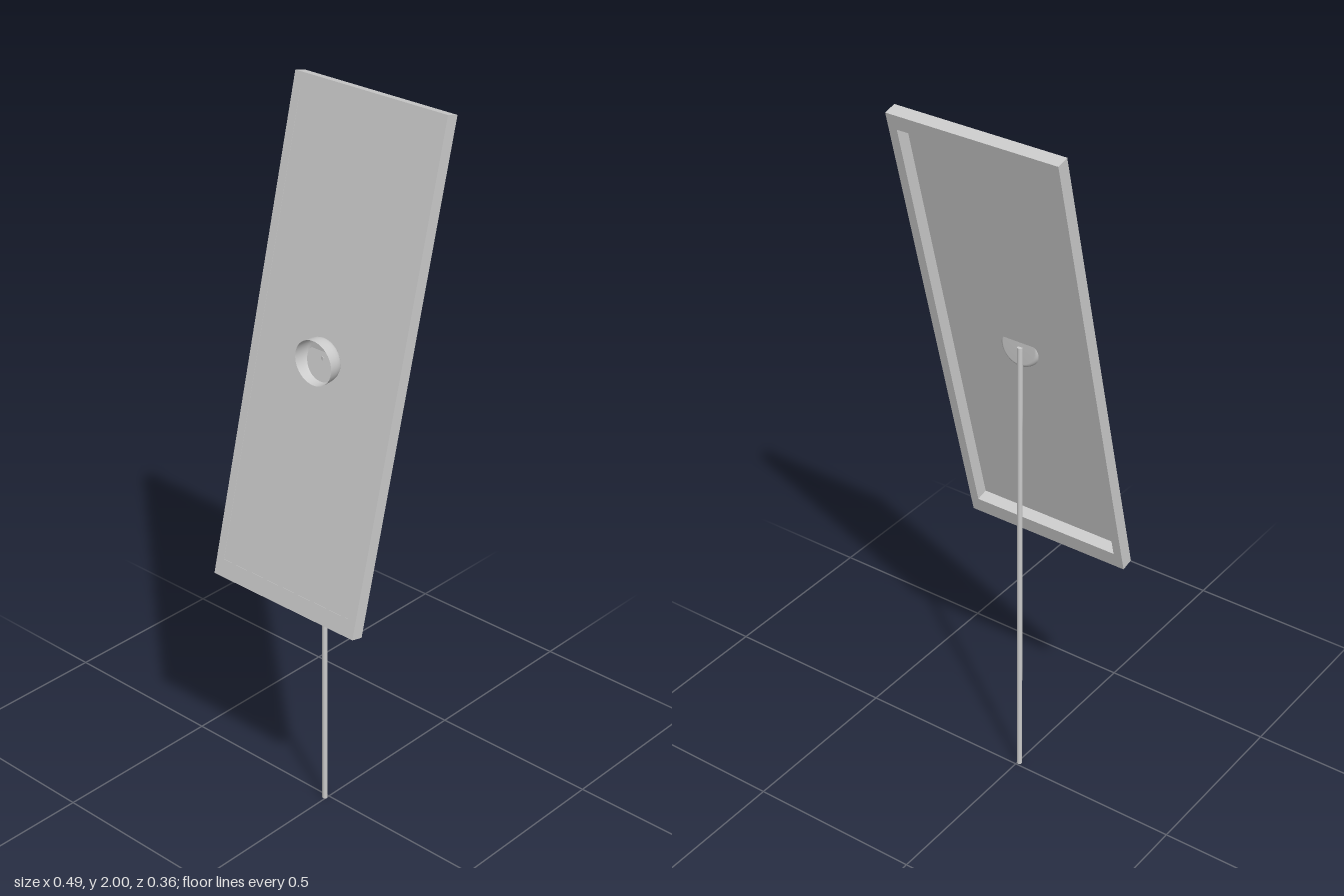
import * as THREE from 'three';

const material = new THREE.MeshStandardMaterial({ color: 0xcccccc, side: THREE.DoubleSide });

function addPart(parent, name, geometry) {
  const mesh = new THREE.Mesh(geometry, material);
  mesh.name = name;
  parent.add(mesh);
  return mesh;
}

// Rectangle outline from left, bottom, right and top
function rectangle(l, b, r, t, Type = THREE.Shape) {
  return new Type([[l, b], [r, b], [r, t], [l, t]].map(([x, y]) => new THREE.Vector2(x, y)));
}

export function createModel() {
  const model = new THREE.Group();
  model.name = 'tiltedPanelOnPole';

  const halfW = 0.245, halfH = 0.67, depth = 0.036;
  const inner = { x: 0.22, bottom: -0.622, top: 0.628 };

  // Tilted board, leaning back at the top
  const board = new THREE.Group();
  board.name = 'board';
  board.position.y = 1.3465;
  board.rotation.x = -Math.atan(0.25);
  model.add(board);

  // Frame with a rectangular opening
  const outline = rectangle(-halfW, -halfH, halfW, halfH);
  outline.holes.push(rectangle(-inner.x, inner.bottom, inner.x, inner.top, THREE.Path));
  const frame = new THREE.ExtrudeGeometry(outline, { depth, bevelEnabled: false });
  frame.translate(0, 0, -depth / 2);
  addPart(board, 'frame', frame);

  // Thin sheet flush with the front of the frame
  const sheet = new THREE.ShapeGeometry(rectangle(-inner.x, inner.bottom, inner.x, inner.top));
  sheet.translate(0, 0, depth / 2 - 0.001);
  addPart(board, 'panel', sheet);

  // Shallow round cup, open to the front, with a rounded back edge
  const profile = [[0, 0.013], [0.048, 0.013], [0.053, 0.0145], [0.0565, 0.018],
    [0.0585, 0.024], [0.06, 0.035], [0.061, 0.058]].map(([r, y]) => new THREE.Vector2(r, y));
  const cup = new THREE.LatheGeometry(profile, 40);
  cup.rotateX(Math.PI / 2);
  addPart(model, 'cup', cup).position.y = 1.35;

  // Slim pole reaching the back of the panel
  const poleHeight = 1.352;
  const pole = addPart(model, 'pole', new THREE.CylinderGeometry(0.0075, 0.0075, poleHeight, 16));
  pole.position.set(-0.005, poleHeight / 2, 0.011);

  return model;
}
